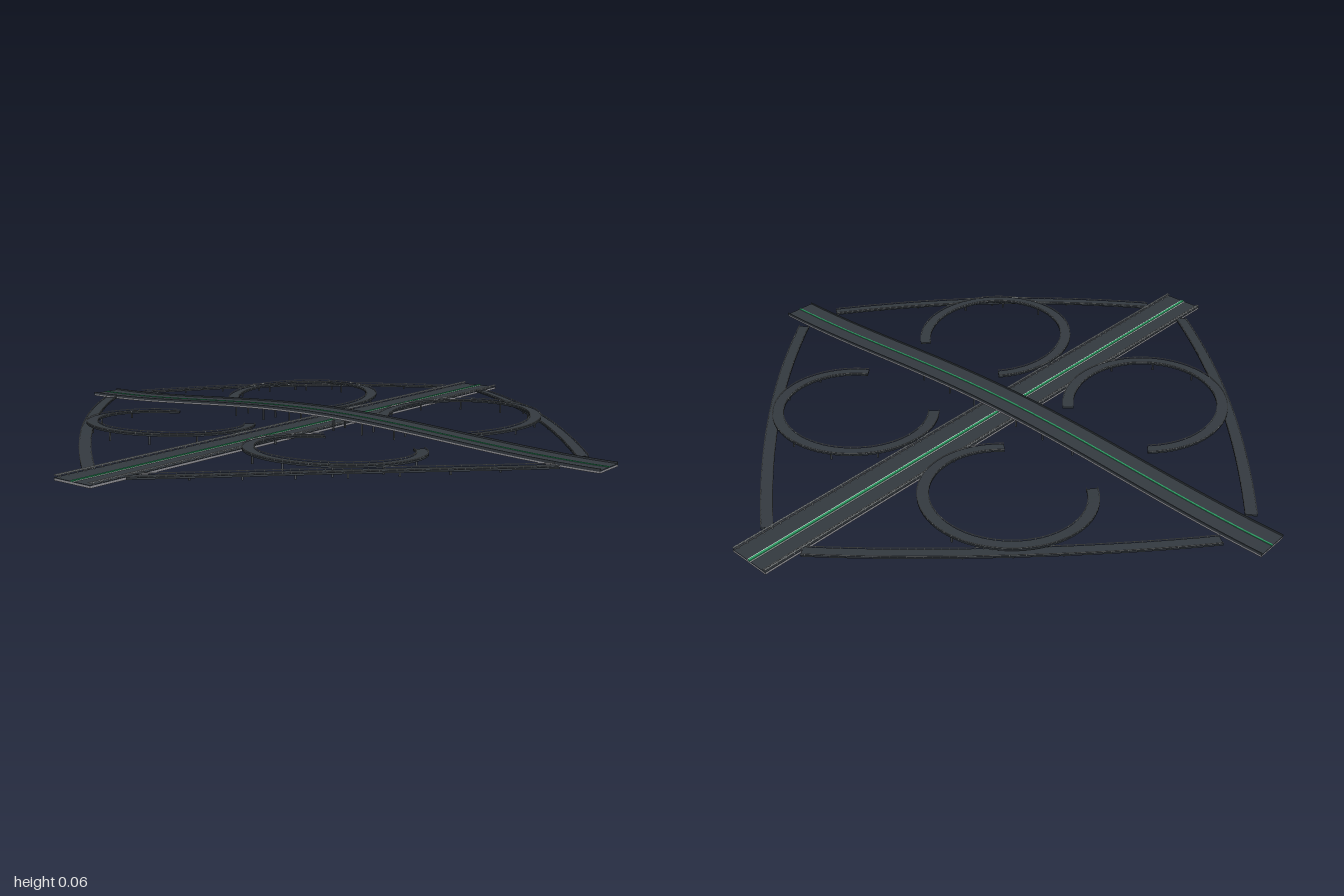
import * as THREE from 'three';
import { mergeGeometries } from 'three/addons/utils/BufferGeometryUtils.js';

const mat = (name, color, side = THREE.FrontSide) =>
  Object.assign(new THREE.MeshStandardMaterial({ color, side }), { name });

// Sweeps a rectangle (sideways a..b, height y0..y1 above the path) along path(t).
function sweep(path, n, a, b, y0, y1) {
  const rings = [];
  for (let i = 0; i <= n; i++) {
    const p = path(i / n);
    const q0 = path(Math.max(0, i / n - 0.002)), q1 = path(Math.min(1, i / n + 0.002));
    const t = q1.sub(q0).setY(0).normalize();
    const side = new THREE.Vector3(t.z, 0, -t.x);
    rings.push([[a, y0], [b, y0], [b, y1], [a, y1]].map(([s, h]) =>
      p.clone().addScaledVector(side, s).add(new THREE.Vector3(0, h, 0))));
  }
  const pos = [];
  const quad = (...c) => [0, 1, 2, 0, 2, 3].forEach(k => pos.push(c[k].x, c[k].y, c[k].z));
  for (let i = 0; i < n; i++) {
    for (let k = 0; k < 4; k++) {
      const m = (k + 1) % 4;
      quad(rings[i][k], rings[i][m], rings[i + 1][m], rings[i + 1][k]);
    }
  }
  quad(...rings[n]);
  quad(...rings[0].slice().reverse());
  const g = new THREE.BufferGeometry();
  g.setAttribute('position', new THREE.Float32BufferAttribute(pos, 3));
  g.computeVertexNormals();
  return g;
}

// Small uprights beside the path, at sideways distances offs.
function posts(path, count, offs, y0, y1, size) {
  const list = [];
  for (let i = 0; i < count; i++) {
    const t = (i + 0.5) / count, p = path(t);
    const d = path(t + 0.002).sub(path(t - 0.002)).setY(0).normalize();
    for (const o of offs) {
      const g = new THREE.BoxGeometry(size, y1 - y0, size);
      g.translate(p.x + d.z * o, p.y + (y0 + y1) / 2, p.z - d.x * o);
      list.push(g);
    }
  }
  return mergeGeometries(list);
}

// Round columns from the ground up to the underside of a deck.
function columns(path, ts, offs, radius, drop) {
  const list = [];
  for (const t of ts) {
    const p = path(t);
    const d = path(t + 0.002).sub(path(t - 0.002)).setY(0).normalize();
    for (const o of offs) {
      const h = p.y - drop;
      const g = new THREE.CylinderGeometry(radius, radius, h, 8);
      g.translate(p.x + d.z * o, h / 2, p.z - d.x * o);
      list.push(g);
    }
  }
  return mergeGeometries(list);
}

export function createModel() {
  const model = new THREE.Group();
  model.name = 'cloverleafInterchange';
  const asphalt = mat('asphalt', 0x343a40);
  const concrete = mat('concrete', 0x8c8c92);
  const steel = mat('guardrail steel', 0xa3a9ac);
  const paint = mat('white paint', 0xe4e8e6);
  const green = mat('median green', 0x2c9a62);
  const pier = mat('pier grey', 0x4a4f54);
  const add = (parent, name, geo, material) => {
    const m = new THREE.Mesh(geo, material);
    m.name = name;
    parent.add(m);
  };
  const group = name => {
    const g = new THREE.Group();
    g.name = name;
    model.add(g);
    return g;
  };

  // Ground-level highway running left to right
  const low = group('lowerHighway');
  const lowPath = t => new THREE.Vector3(2 * t - 1, 0.008, 0);
  add(low, 'deck', sweep(lowPath, 1, -0.07, 0.07, -0.008, -0.002), concrete);
  add(low, 'pavement', sweep(lowPath, 1, -0.07, 0.07, -0.002, 0), asphalt);
  add(low, 'median', sweep(lowPath, 1, -0.004, 0.004, 0, 0.003), green);
  for (const s of [-1, 1]) {
    add(low, 'medianLine', sweep(lowPath, 1, s * 0.0065 - 0.0015, s * 0.0065 + 0.0015, 0, 0.0008), paint);
    add(low, 'guardrail', sweep(lowPath, 1, s * 0.068 - 0.002, s * 0.068 + 0.002, 0.005, 0.008), steel);
    add(low, 'innerGuardrail', sweep(lowPath, 1, s * 0.0615 - 0.001, s * 0.0615 + 0.001, 0.005, 0.007), steel);
  }
  add(low, 'guardrailPosts', posts(lowPath, 70, [-0.068, 0.068, -0.0615, 0.0615], 0, 0.006, 0.002), steel);

  // Raised highway running front to back, arching over the lower one
  const high = group('upperHighway');
  const highPath = t => {
    const z = 2 * t - 1;
    return new THREE.Vector3(0, 0.009 + 0.044 * (0.5 + 0.5 * Math.cos(Math.PI * z)), z);
  };
  add(high, 'deck', sweep(highPath, 64, -0.055, 0.055, -0.008, -0.003), concrete);
  add(high, 'pavement', sweep(highPath, 64, -0.055, 0.055, -0.003, 0), asphalt);
  add(high, 'median', sweep(highPath, 64, -0.003, 0.003, 0, 0.002), green);
  for (const s of [-1, 1]) {
    add(high, 'parapet', sweep(highPath, 64, s * 0.0535 - 0.0015, s * 0.0535 + 0.0015, 0, 0.005), asphalt);
  }
  add(high, 'piers', columns(highPath, [0.34, 0.4, 0.455, 0.545, 0.6, 0.66], [-0.03, 0.03], 0.003, 0.007), pier);

  // One loop and one outer ramp in each quadrant
  for (const sx of [-1, 1]) for (const sz of [-1, 1]) {
    const where = (sz > 0 ? 'front' : 'back') + (sx > 0 ? 'Left' : 'Right');
    const loopPath = t => {
      const a = THREE.MathUtils.degToRad(141 - 276 * t);
      return new THREE.Vector3(sx * (0.325 + 0.245 * Math.cos(a)),
        0.012 + 0.024 * Math.sin(Math.PI * t), sz * (0.325 + 0.245 * Math.sin(a)));
    };
    const curve = new THREE.QuadraticBezierCurve3(
      new THREE.Vector3(sx * 0.075, 0, sz * 0.885),
      new THREE.Vector3(sx * 0.535, 0, sz * 0.535),
      new THREE.Vector3(sx * 0.88, 0, sz * 0.075));
    const rampPath = t => curve.getPoint(t).setY(0.01 + 0.01 * Math.sin(Math.PI * t));

    for (const [name, path, n, count] of [['Loop', loopPath, 56, 50], ['Ramp', rampPath, 28, 50]]) {
      const g = group(where + name);
      add(g, 'pavement', sweep(path, n, -0.0175, 0.0175, -0.005, 0), asphalt);
      for (const s of [-1, 1]) {
        add(g, 'guardrail', sweep(path, n, s * 0.0168 - 0.0007, s * 0.0168 + 0.0007, 0.003, 0.005), steel);
      }
      add(g, 'guardrailPosts', posts(path, count, [-0.0168, 0.0168], 0, 0.004, 0.0014), steel);
      add(g, 'piers', columns(path, [0.14, 0.26, 0.38, 0.5, 0.62, 0.74, 0.86], [0], 0.003, 0.004), pier);
    }
  }
  return model;
}
